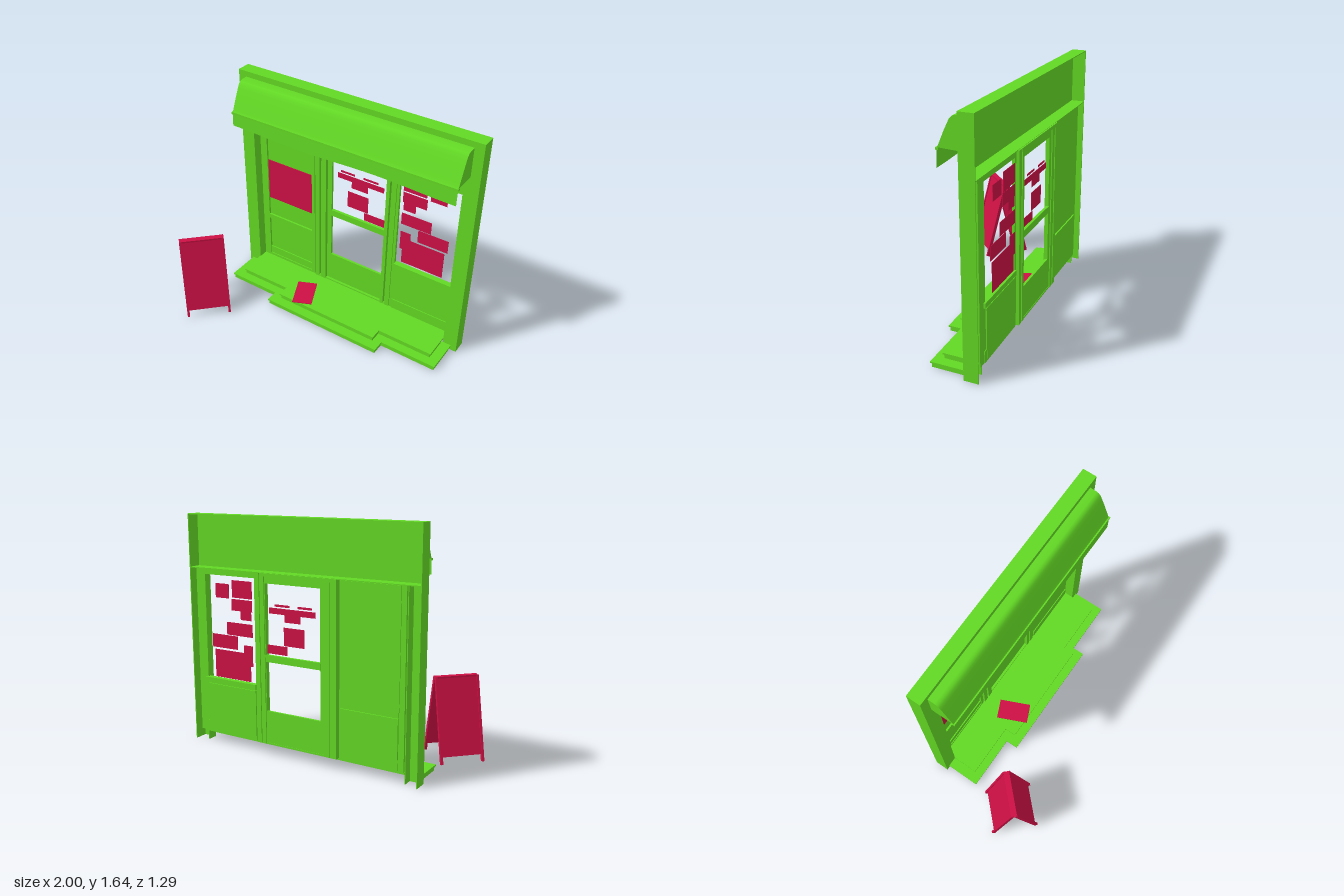
import * as THREE from 'three';

const green = new THREE.MeshStandardMaterial({ color: 0x62d824, side: THREE.DoubleSide });
green.name = 'shop green';
const red = new THREE.MeshStandardMaterial({ color: 0xcc1044, side: THREE.DoubleSide });
red.name = 'sign red';

function add(parent, name, geometry, material = green) {
  const mesh = new THREE.Mesh(geometry, material);
  mesh.name = name;
  parent.add(mesh);
  return mesh;
}

// box given by its limits on x, y and z
function box(parent, name, x0, x1, y0, y1, z0, z1, material = green) {
  const m = add(parent, name, new THREE.BoxGeometry(x1 - x0, y1 - y0, z1 - z0), material);
  m.position.set((x0 + x1) / 2, (y0 + y1) / 2, (z0 + z1) / 2);
  return m;
}

function polygon(points) {
  return new THREE.Shape(points.map(p => new THREE.Vector2(p[0], p[1])));
}

// upright rectangular frame with one opening
function frame(parent, name, [x0, x1, y0, y1], [hx0, hx1, hy0, hy1], z0, z1) {
  const shape = polygon([[x0, y0], [x1, y0], [x1, y1], [x0, y1]]);
  shape.holes.push(polygon([[hx0, hy0], [hx0, hy1], [hx1, hy1], [hx1, hy0]]));
  const g = new THREE.ExtrudeGeometry(shape, { depth: z1 - z0, bevelEnabled: false });
  g.translate(0, 0, z0);
  return add(parent, name, g);
}

// open surface between two matching lines of points
function ribbon(lineA, lineB, smooth) {
  const pos = [], index = [];
  lineA.forEach((p, i) => {
    pos.push(...p, ...lineB[i]);
    if (i) {
      const k = 2 * i;
      index.push(k - 2, k, k - 1, k - 1, k, k + 1);
    }
  });
  let g = new THREE.BufferGeometry();
  g.setAttribute('position', new THREE.Float32BufferAttribute(pos, 3));
  g.setIndex(index);
  if (!smooth) g = g.toNonIndexed();
  g.computeVertexNormals();
  return g;
}

// step with a projecting middle: thin tread over hollow risers
function step(parent, name, y, x0, x1, z, mx0, mx1, mz, back) {
  const outline = (d, b) => [[x0 + d, b], [x0 + d, z - d], [mx0 + d, z - d], [mx0 + d, mz - d],
    [mx1 - d, mz - d], [mx1 - d, z - d], [x1 - d, z - d], [x1 - d, b]];
  const tread = new THREE.ExtrudeGeometry(polygon(outline(0, back).map(p => [p[0], -p[1]])),
    { depth: 0.01, bevelEnabled: false });
  tread.rotateX(-Math.PI / 2).translate(0, y - 0.01, 0);
  add(parent, name + 'Tread', tread);
  const line = outline(0.008, -0.145);
  add(parent, name + 'Riser', ribbon(line.map(p => [p[0], y - 0.04, p[1]]), line.map(p => [p[0], y - 0.01, p[1]])));
}

function buildShell(shop) {
  const L = -0.76, R = 1.035, back = -0.262, front = -0.163, t = 0.006;
  // hollow pillars, open at the back
  for (const [side, outer, inner] of [['right', L, -0.66], ['left', R, 0.935]]) {
    const s = Math.sign(inner - outer);
    const span = (a, b) => [Math.min(a, b), Math.max(a, b)];
    box(shop, side + 'EndWall', ...span(outer, outer + s * t), 0, 1.64, back, front);
    box(shop, side + 'PillarFront', ...span(outer, inner), 0, 1.27, front - t, front);
    box(shop, side + 'PillarReveal', ...span(inner - s * t, inner), 0, 1.27, -0.235, front);
  }
  // header niche
  box(shop, 'fascia', L, R, 1.27, 1.64, front - t, front);
  box(shop, 'topPlate', L, R, 1.634, 1.64, back, front);
  box(shop, 'headerLedge', L, R, 1.264, 1.27, back, front);
}

function buildAwning(shop) {
  const x0 = -0.7, x1 = 0.97;
  const hood = [[-0.163, 1.6], [-0.115, 1.598], [-0.098, 1.592], [-0.084, 1.578], [-0.072, 1.555],
    [-0.05, 1.51], [-0.026, 1.455], [-0.01, 1.418], [-0.003, 1.406]];
  const at = x => hood.map(([z, y]) => [x, y, z]);
  add(shop, 'awningHood', ribbon(at(x0), at(x1), true));
  // end cheeks
  for (const x of [x0, x1]) {
    const cheek = new THREE.ShapeGeometry(polygon([...hood, [-0.163, 1.4]]));
    add(shop, 'awningCheek', cheek.rotateY(-Math.PI / 2).translate(x, 0, 0));
  }
  box(shop, 'awningLip', x0 - 0.004, x1 + 0.004, 1.392, 1.406, -0.012, 0.006);
  // valance with a gently waving hem
  const top = [], hem = [];
  for (let i = 0; i <= 24; i++) {
    const x = x0 + (x1 - x0) * i / 24;
    top.push([x, 1.394, 0]);
    hem.push([x, 1.295 + 0.008 * Math.cos(i / 24 * Math.PI * 3), 0.002]);
  }
  add(shop, 'awningValance', ribbon(top, hem, true));
}

function buildFront(shop) {
  // closed bay
  frame(shop, 'closedBayFrame', [-0.66, -0.19, 0.08, 1.268], [-0.605, -0.215, 0.1, 1.22], -0.25, -0.232);
  box(shop, 'closedBayPanel', -0.62, -0.2, 0.085, 1.24, -0.252, -0.246);
  box(shop, 'closedBayRail', -0.61, -0.21, 0.435, 0.47, -0.25, -0.232);
  box(shop, 'closedBayKickRail', -0.605, -0.215, 0.08, 0.16, -0.25, -0.238);
  box(shop, 'closedBayBackUpper', -0.625, -0.2, 0.47, 1.262, -0.256, -0.25);
  box(shop, 'closedBayBackLower', -0.62, -0.2, 0.16, 0.43, -0.262, -0.25);
  box(shop, 'closedBayPoster', -0.603, -0.217, 0.62, 0.945, -0.245, -0.24, red);

  // window bay
  frame(shop, 'windowFrame', [0.44, 0.985, 0.08, 1.268], [0.48, 0.907, 0.485, 1.225], -0.25, -0.232);
  box(shop, 'windowSill', 0.478, 0.93, 0.45, 0.485, -0.262, -0.222);
  box(shop, 'windowKickRail', 0.48, 0.93, 0.08, 0.16, -0.255, -0.226);
  box(shop, 'windowBackPanel', 0.48, 0.905, 0.1, 0.44, -0.258, -0.25);

  // glazed door
  frame(shop, 'doorFrame', [-0.17, 0.43, 0.09, 1.268], [-0.055, 0.38, 0.317, 1.2], -0.265, -0.248);
  box(shop, 'doorBar', -0.06, 0.385, 0.665, 0.713, -0.267, -0.246);
  for (const [x0, x1] of [[-0.18, -0.145], [-0.13, -0.09], [0.385, 0.41], [0.425, 0.46]])
    box(shop, 'doorJamb', x0, x1, 0.08, 1.268, -0.272, -0.225);
  box(shop, 'doorHead', -0.18, 0.42, 1.245, 1.268, -0.272, -0.225);
  box(shop, 'doorThreshold', -0.18, 0.46, 0.078, 0.09, -0.268, -0.23);

  // small posters behind the glass: x0, x1, y0, y1
  const posters = [
    [0.495, 0.665, 1.08, 1.2], [0.692, 0.809, 1.07, 1.17], [0.495, 0.672, 0.99, 1.07],
    [0.504, 0.594, 0.93, 0.99], [0.495, 0.717, 0.815, 0.905], [0.626, 0.848, 0.715, 0.81],
    [0.497, 0.573, 0.61, 0.755], [0.516, 0.828, 0.5, 0.7],
    [-0.014, 0.352, 1, 1.04], [0.1, 0.229, 0.95, 1], [0.013, 0.124, 1.05, 1.065],
    [0.189, 0.306, 1.05, 1.065], [0.071, 0.235, 0.79, 0.915], [0.208, 0.372, 0.725, 0.785]];
  posters.forEach(p => box(shop, 'windowPoster', ...p, -0.258, -0.256, red));
}

function buildBoard() {
  const board = new THREE.Group();
  board.name = 'pavementBoard';
  const height = 0.575, spread = 0.15, tilt = Math.atan2(spread, height);
  for (const s of [1, -1]) {
    const leaf = new THREE.Group();
    leaf.name = s > 0 ? 'frontLeaf' : 'backLeaf';
    const len = Math.hypot(height, spread);
    box(leaf, 'boardPanel', -0.148, 0.148, -len + 0.055, 0, -0.006, 0.006, red);
    for (const x of [-0.148, 0.148])
      box(leaf, 'boardLeg', x - 0.008, x + 0.008, -len + 0.006, 0, -0.012, 0.012, red);
    leaf.position.set(0, height - 0.003, s * 0.01);
    leaf.rotation.x = -s * tilt;
    board.add(leaf);
  }
  box(board, 'boardHinge', -0.15, 0.15, height - 0.012, height, -0.02, 0.02, red);
  board.position.set(-0.822, 0, -0.09);
  board.rotation.y = THREE.MathUtils.degToRad(10);
  return board;
}

export function createModel() {
  const model = new THREE.Group();
  model.name = 'shopfront';
  const shop = new THREE.Group();
  shop.name = 'facade';
  shop.rotation.y = THREE.MathUtils.degToRad(-35);
  buildShell(shop);
  buildAwning(shop);
  buildFront(shop);
  step(shop, 'lowerStep', 0.04, -0.733, 0.995, 0.084, -0.332, 0.587, 0.173, -0.162);
  step(shop, 'upperStep', 0.08, -0.665, 0.935, 0.03, -0.268, 0.533, 0.113, -0.245);
  model.add(shop, buildBoard());
  // mat lying askew on the upper step
  const mat = box(model, 'doorMat', -0.17, -0.027, 0.08, 0.085, -0.184, 0.046, red);
  mat.rotation.y = THREE.MathUtils.degToRad(-11);
  return model;
}
